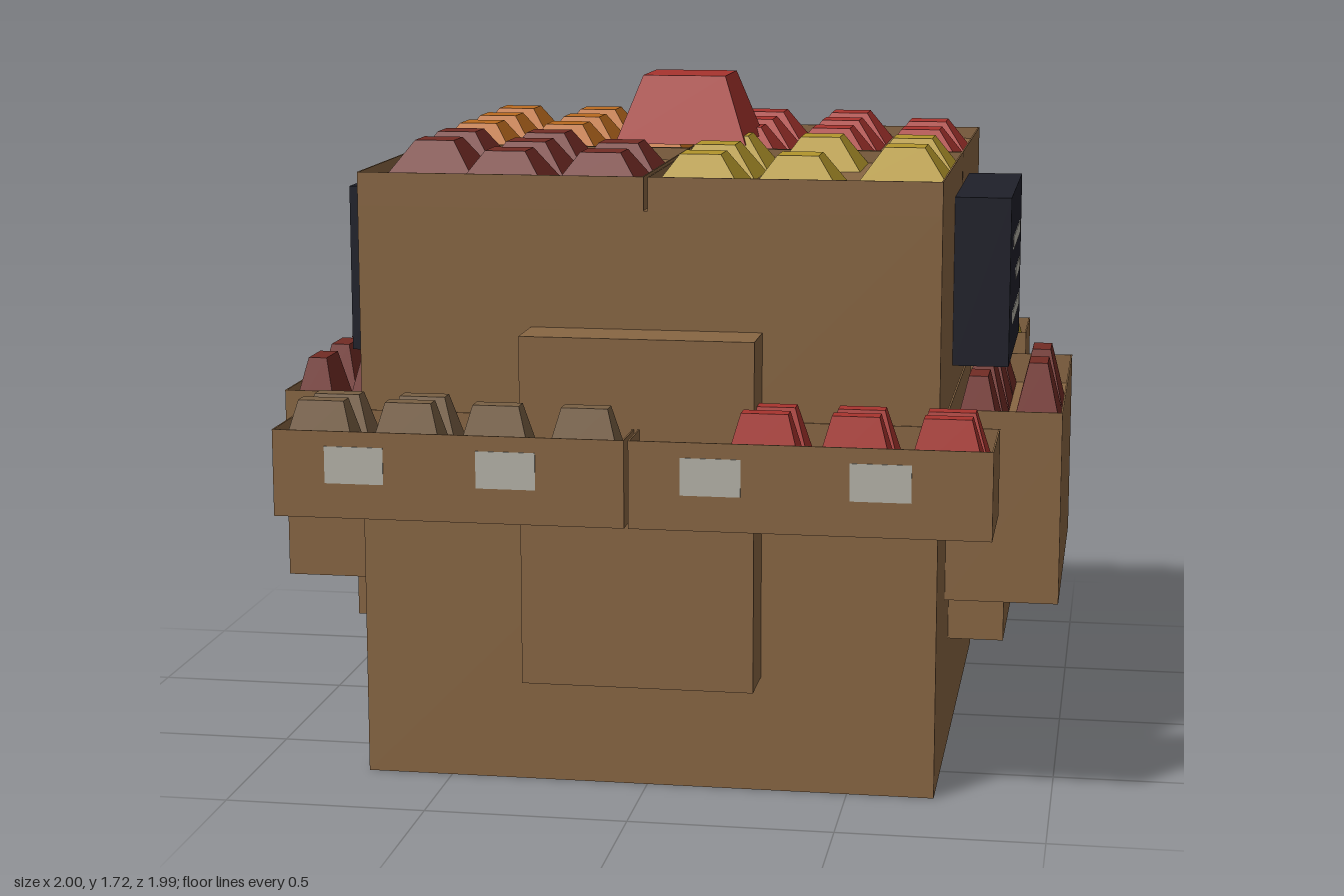
import * as THREE from 'three';

const material = (name, color) => {
  const m = new THREE.MeshStandardMaterial({ color });
  m.name = name;
  return m;
};

export function createModel() {
  const wood = material('wood', 0x886643);
  wood.side = THREE.DoubleSide;
  const slate = material('slate', 0x1f202a);
  const paper = material('paper', 0xb5b2a8);
  const red = material('red', 0xa8342e);
  const darkRed = material('dark red', 0x722c25);
  const orange = material('orange', 0xbb6b1f);
  const yellow = material('yellow', 0xb3962c);
  const brown = material('brown', 0x796044);

  const model = new THREE.Group();
  model.name = 'marketStall';

  // Box given by its min and max along each axis
  function box(name, mat, [x0, x1], [y0, y1], [z0, z1], parent = model) {
    const mesh = new THREE.Mesh(new THREE.BoxGeometry(x1 - x0, y1 - y0, z1 - z0), mat);
    mesh.position.set((x0 + x1) / 2, (y0 + y1) / 2, (z0 + z1) / 2);
    mesh.name = name;
    parent.add(mesh);
    return mesh;
  }

  // Open crate: solid base up to the floor, thin rim above
  function crate(name, [x0, x1], [y0, y1], [z0, z1], floor) {
    const g = new THREE.Group();
    const t = 0.004;
    g.name = name;
    box('base', wood, [x0, x1], [y0, floor], [z0, z1], g);
    box('rim', wood, [x0, x0 + t], [floor, y1], [z0, z1], g);
    box('rim', wood, [x1 - t, x1], [floor, y1], [z0, z1], g);
    box('rim', wood, [x0 + t, x1 - t], [floor, y1], [z0, z0 + t], g);
    box('rim', wood, [x0 + t, x1 - t], [floor, y1], [z1 - t, z1], g);
    model.add(g);
  }

  // Tapered block: a box whose top corners are drawn in
  function produce(name, mat, x, z, y0, y1, w, d, topW, topD) {
    const geo = new THREE.BoxGeometry(w, y1 - y0, d);
    const p = geo.attributes.position;
    for (let i = 0; i < p.count; i++) {
      if (p.getY(i) > 0) {
        p.setX(i, Math.sign(p.getX(i)) * topW / 2);
        p.setZ(i, Math.sign(p.getZ(i)) * topD / 2);
      }
    }
    geo.computeVertexNormals();
    const mesh = new THREE.Mesh(geo, mat);
    mesh.position.set(x, (y0 + y1) / 2, z);
    mesh.name = name;
    model.add(mesh);
  }

  // Main body: four walls, open above and below (the y faces are indices 12 to 23)
  const body = box('body', wood, [-0.715, 0.715], [0, 1.44], [-0.715, 0.715]).geometry;
  body.setIndex(Array.from(body.index.array).filter((_, i) => i < 12 || i >= 24));
  body.clearGroups();

  // Four crates on top, split by narrow grooves
  const bins = [
    [-1, -1, orange, ['111', '111', '111']],
    [1, -1, red, ['110', '111', '111']],
    [-1, 1, darkRed, ['110', '111', '011']],
    [1, 1, yellow, ['111', '101', '110']],
  ];
  const half = (s, edge) => (s < 0 ? [-edge, -0.005] : [0.005, edge]);
  for (const [sx, sz, mat, rows] of bins) {
    crate('topCrate', half(sx, 0.715), [1.44, 1.522], half(sz, 0.715), 1.49);
    rows.forEach((row, r) => [...row].forEach((c, k) => {
      if (c === '0') return;
      const x = sx * 0.36 + (k - 1) * 0.237;
      const z = sz * 0.36 + (r - 1) * 0.237;
      produce('topProduce', mat, x, z, 1.49, 1.572, 0.218, 0.218, 0.1, 0.1);
    }));
  }
  produce('centrepiece', red, 0, 0.03, 1.55, 1.722, 0.34, 0.34, 0.215, 0.205);

  // Front and back: upright block, two trays and price labels
  for (const s of [1, -1]) {
    const span = (a, b) => (s > 0 ? [a, b] : [-b, -a]);
    box('uprightBlock', wood, [-0.285, 0.285], [0.29, 1.15], span(0.715, 0.857));
    for (const sx of [-1, 1]) {
      crate('tray', half(sx, 0.86), [0.72, 0.932], span(0.715, 0.993), 0.85);
    }
    for (const x of [-0.66, -0.29, 0.2, 0.6]) {
      box('priceLabel', paper, [x - 0.072, x + 0.072], [0.805, 0.895], span(0.99, 0.995));
    }
  }

  // Tray contents: outer and inner row, from -x to +x
  const trays = [
    [0.925, '11110111', brown, red],
    [0.787, '11000111', brown, red],
    [-0.925, '11111111', red, yellow],
    [-0.787, '11100111', red, yellow],
  ];
  for (const [z, row, leftMat, rightMat] of trays) {
    [...row].forEach((c, k) => {
      if (c === '0') return;
      const x = (k - 3.5) * 0.2145;
      const mat = k < 4 ? leftMat : rightMat;
      const top = Math.abs(z) > 0.9 ? 0.997 : 0.987;
      produce('trayProduce', mat, x, z, 0.85, top, 0.194, 0.12, 0.112, 0.045);
    });
  }

  // Sides: bracket, deep crate and slate sign with chalk lines
  const lines = [[1.29, 1.322, 0.16], [1.19, 1.222, 0], [1.094, 1.126, 0.14]];
  for (const s of [1, -1]) {
    const span = (a, b) => (s > 0 ? [a, b] : [-b, -a]);
    box('sideBracket', wood, span(0.715, 0.857), [0.29, 0.43], [-0.285, 0.285]);
    crate('sideCrate', span(0.715, 1), [0.43, 0.92], [-0.43, 0.43], 0.84);
    box('sign', slate, span(0.715, 0.857), [1.007, 1.437], [-0.287, 0.287]);
    for (const [y0, y1, z1] of lines) {
      box('signLine', paper, span(0.854, 0.859), [y0, y1], [-0.21, z1]);
    }
    const outer = s > 0 ? [-0.107, 0.107] : [-0.107, 0.107, 0.32];
    const inner = s > 0 ? [-0.32, -0.107, 0.107, 0.32] : [-0.107, 0.107, 0.32];
    for (const [x, list] of [[0.928, outer], [0.787, inner]]) {
      for (const z of list) {
        const top = s > 0 && z === -0.32 ? 0.975 : 0.997;
        produce('sideProduce', darkRed, s * x, z, 0.84, top, 0.122, 0.2, 0.048, 0.105);
      }
    }
  }
  return model;
}
